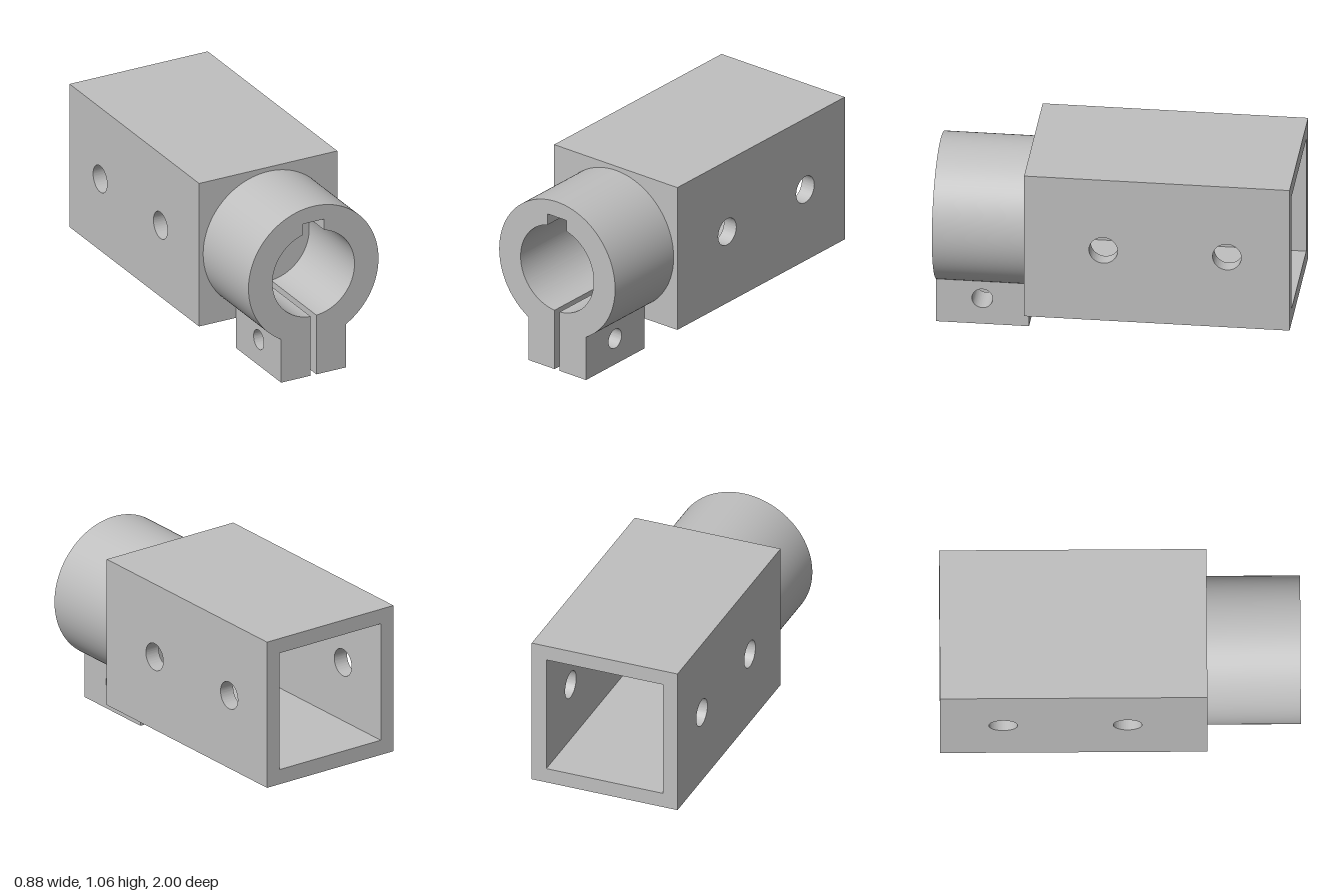
import * as THREE from 'three';
import { toCreasedNormals } from 'three/addons/utils/BufferGeometryUtils.js';

const CY = 0.622;                          // shared axis height
const HALF = 0.438, WALL = 0.088;          // square tube
const BACK = -1, JOINT = 0.482, FRONT = 1; // z stations
const R_OUT = 0.412, R_IN = 0.26;          // clamp ring
const SLOT = 0.018, LUG = 0.205, KEY = 0.068, KEY_TOP = 0.94;

export function createModel() {
  const group = new THREE.Group();
  const metal = new THREE.MeshStandardMaterial({ color: 0xbfbfbf });
  metal.name = 'plain grey';

  const add = (name, geometry) => {
    const mesh = new THREE.Mesh(geometry, metal);
    mesh.name = name;
    group.add(mesh);
    return mesh;
  };
  const extrude = (shape, depth) => toCreasedNormals(
    new THREE.ExtrudeGeometry(shape, { depth, bevelEnabled: false, curveSegments: 64 }), 0.5);

  // Plate facing sideways, from x0 to x1, with round holes given as [z, y, radius]
  const sidePlate = (name, x0, x1, z0, z1, y0, y1, holes) => {
    const shape = new THREE.Shape([[-z1, y0], [-z0, y0], [-z0, y1], [-z1, y1]]
      .map(([u, v]) => new THREE.Vector2(u, v)));
    for (const [z, y, r] of holes) {
      shape.holes.push(new THREE.Path().absarc(-z, y, r, 0, Math.PI * 2, true));
    }
    add(name, extrude(shape, x1 - x0).rotateY(Math.PI / 2).translate(x0, 0, 0));
  };
  const box = (name, w, h, d, y, z) =>
    add(name, new THREE.BoxGeometry(w, h, d)).position.set(0, y, z);

  // Square tube: drilled side walls, top and bottom walls, closed front end
  const inner = HALF - WALL, length = JOINT - BACK, midZ = (JOINT + BACK) / 2;
  const bolts = [[0.04, CY, 0.08], [-0.65, CY, 0.08]];
  sidePlate('leftTubeWall', inner, HALF, BACK, JOINT, CY - HALF, CY + HALF, bolts);
  sidePlate('rightTubeWall', -HALF, -inner, BACK, JOINT, CY - HALF, CY + HALF, bolts);
  box('topTubeWall', inner * 2, WALL, length, CY + HALF - WALL / 2, midZ);
  box('bottomTubeWall', inner * 2, WALL, length, CY - HALF + WALL / 2, midZ);
  box('tubeEndWall', inner * 2, inner * 2, WALL, CY, JOINT - WALL / 2);

  // Split clamp ring with keyway
  const lugTop = CY - Math.sqrt(R_OUT ** 2 - LUG ** 2);
  const outer = Math.asin(LUG / R_OUT), slot = Math.asin(SLOT / R_IN), key = Math.asin(KEY / R_IN);
  const down = -Math.PI / 2, up = Math.PI / 2;
  const ring = new THREE.Shape();
  ring.moveTo(LUG, lugTop);
  ring.absarc(0, CY, R_OUT, down + outer, 3 * up - outer, false);
  ring.lineTo(-SLOT, lugTop);
  ring.absarc(0, CY, R_IN, 3 * up - slot, up + key, true);
  ring.lineTo(-KEY, KEY_TOP);
  ring.lineTo(KEY, KEY_TOP);
  ring.absarc(0, CY, R_IN, up - key, down + slot, true);
  ring.lineTo(SLOT, lugTop);
  ring.closePath();
  add('clampRing', extrude(ring, FRONT - JOINT).translate(0, 0, JOINT));

  // Clamp lugs with the cross bolt hole
  const pinch = [[0.743, 0.158, 0.058]];
  sidePlate('leftClampLug', SLOT, LUG, JOINT, FRONT, 0, lugTop, pinch);
  sidePlate('rightClampLug', -LUG, -SLOT, JOINT, FRONT, 0, lugTop, pinch);

  return group;
}
